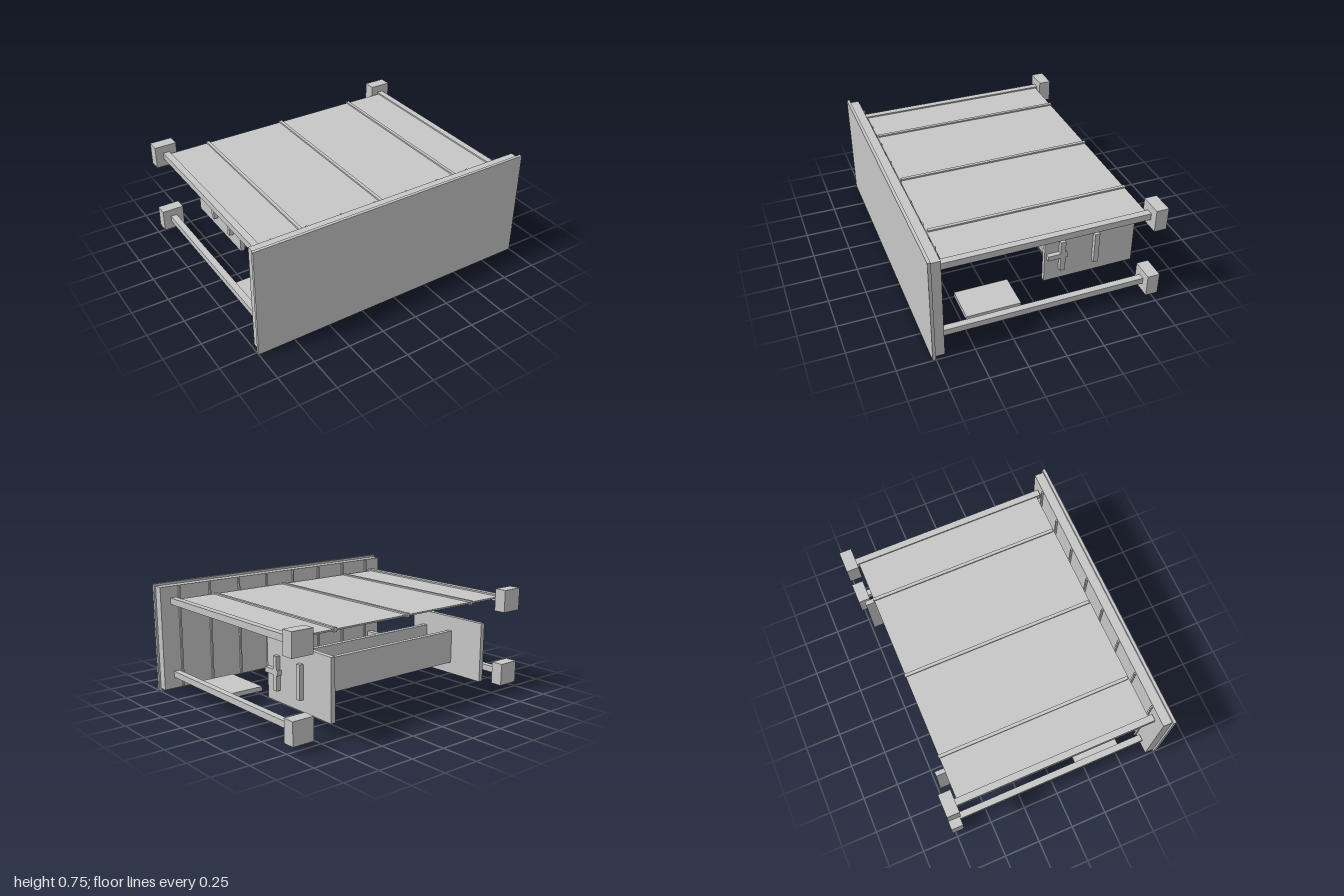
import * as THREE from 'three';

export function createModel() {
  const model = new THREE.Group();
  model.name = 'panelFrame';
  const grey = new THREE.MeshStandardMaterial({ color: 0xc7c7c7 });
  grey.name = 'light grey';

  // Box given by its min and max along each axis
  function box(name, [x0, x1], [y0, y1], [z0, z1]) {
    const mesh = new THREE.Mesh(new THREE.BoxGeometry(x1 - x0, y1 - y0, z1 - z0), grey);
    mesh.position.set((x0 + x1) / 2, (y0 + y1) / 2, (z0 + z1) / 2);
    mesh.name = name;
    model.add(mesh);
  }
  // The same box on both sides of x = 0
  function pair(name, [x0, x1], y, z) {
    box(name + 'Left', [x0, x1], y, z);
    box(name + 'Right', [-x1, -x0], y, z);
  }

  // Front: thin facing, backing slab and its vertical battens
  box('frontFacing', [-1, 1], [0, 0.755], [0.752, 0.772]);
  box('frontBacking', [-0.987, 0.987], [0.016, 0.739], [0.69, 0.752]);
  for (let i = 0; i < 8; i++) {
    const x = -0.84 + i * 0.241;
    box('backBatten', [x - 0.006, x + 0.006], [0.02, 0.733], [0.676, 0.69]);
  }

  // Four long rails with end blocks
  pair('upperRail', [0.872, 0.917], [0.615, 0.66], [-0.688, 0.682]);
  pair('lowerRail', [0.872, 0.917], [0.098, 0.141], [-0.688, 0.682]);
  pair('upperEndBlock', [0.82, 0.972], [0.56, 0.714], [-0.772, -0.688]);
  pair('lowerEndBlock', [0.82, 0.972], [0.041, 0.194], [-0.772, -0.688]);

  // Top sheet with three seams
  box('topSheet', [-0.872, 0.872], [0.64, 0.65], [-0.675, 0.656]);
  for (const x of [-0.588, -0.002, 0.585]) {
    box('sheetSeam', [x - 0.011, x + 0.011], [0.632, 0.66], [-0.68, 0.648]);
  }

  // Inner support: side boards joined by crossbars that pass through them
  pair('sideBoard', [0.633, 0.665], [0.098, 0.505], [-0.735, -0.095]);
  box('rearCrossbar', [-0.695, 0.695], [0.178, 0.405], [-0.47, -0.436]);
  box('frontCrossbar', [-0.695, 0.695], [0.178, 0.405], [-0.23, -0.195]);
  box('crossShelf', [-0.695, 0.695], [0.28, 0.315], [-0.243, -0.108]);

  // Loose low plates near the front
  box('lowPlateLeft', [0.565, 0.81], [0.066, 0.098], [0.122, 0.49]);
  box('lowPlateRight', [-0.9, -0.47], [0.072, 0.098], [0.19, 0.52]);

  return model;
}
